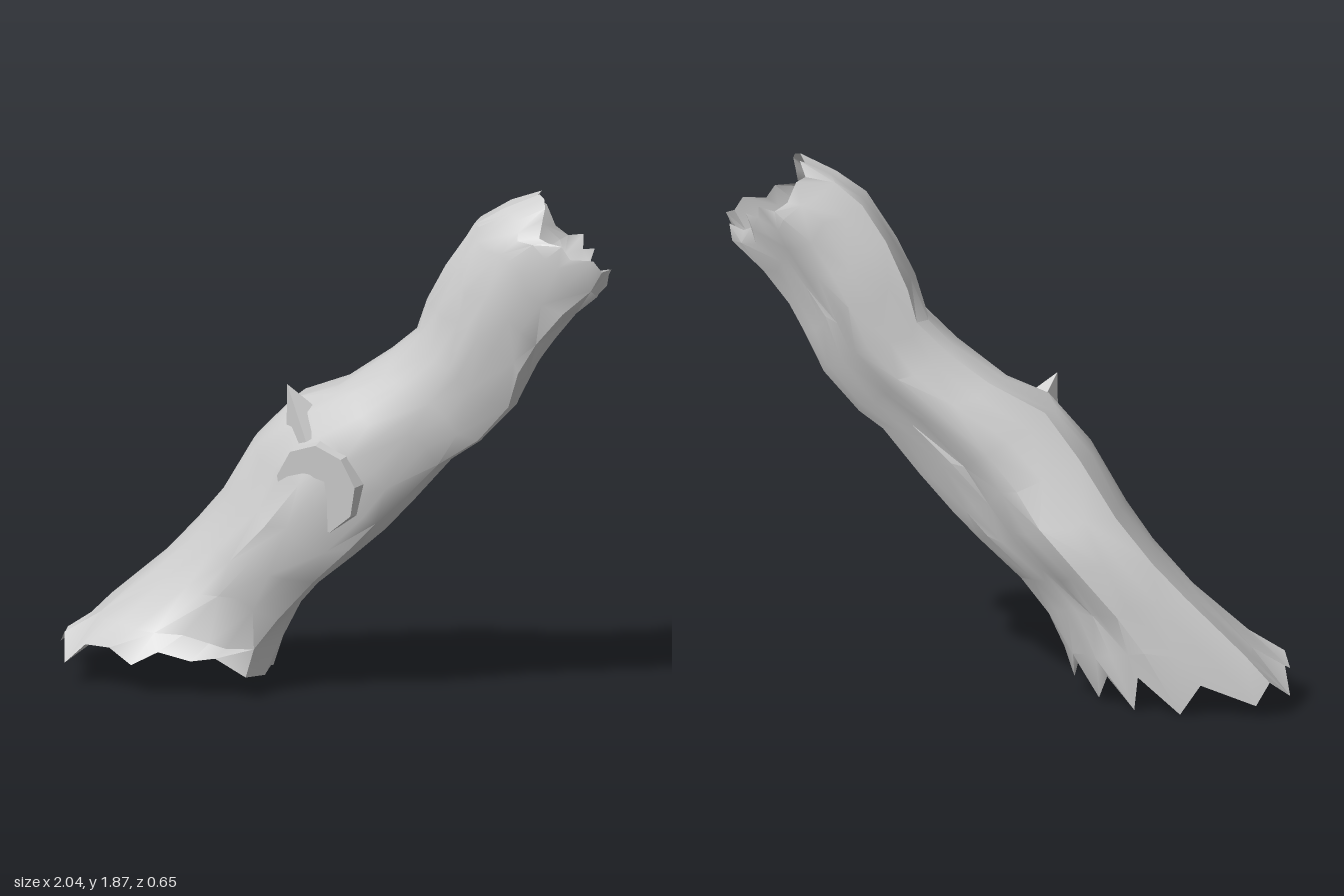
import * as THREE from 'three';
import { toCreasedNormals } from 'three/addons/utils/BufferGeometryUtils.js';

const SIDES = 24;

// Cross-sections from foot to tip: upper-left edge x, y, lower-right edge x, y, back z, front z
const SECTIONS = [
  [-1.00, 0.13, -0.24, 0.08, -0.32, 0.27],
  [-0.87, 0.24, -0.20, 0.20, -0.31, 0.22],
  [-0.66, 0.43, -0.15, 0.31, -0.28, 0.20],
  [-0.53, 0.57, -0.04, 0.44, -0.27, 0.23],
  [-0.41, 0.72, 0.10, 0.56, -0.23, 0.25],
  [-0.31, 0.90, 0.20, 0.65, -0.18, 0.26],
  [-0.16, 1.06, 0.30, 0.76, -0.14, 0.26],
  [0.02, 1.14, 0.43, 0.91, -0.09, 0.27],
  [0.18, 1.25, 0.55, 1.00, -0.05, 0.27],
  [0.29, 1.35, 0.66, 1.12, -0.03, 0.28],
  [0.35, 1.49, 0.73, 1.26, -0.03, 0.30],
  [0.42, 1.62, 0.80, 1.37, -0.01, 0.31],
  [0.51, 1.76, 0.88, 1.47, 0.01, 0.32],
  [0.62, 1.83, 0.97, 1.55, 0.03, 0.33],
  [0.75, 1.89, 1.00, 1.63, 0.05, 0.32],
];

// Fullness of each quarter of a ring: upper front, lower front, lower back, upper back
const FOOT_FULLNESS = [0, 0.25, -0.12, 0.35];
const TRUNK_FULLNESS = [-0.13, 0.26, -0.28, 0.36];

// Splintered rims: shift along the trunk for each side, starting upper left and going round the front
const FOOT_SHIFT = [
  0, 0.05, -0.03, 0.06, 0.07, 0.02, 0.08, 0.06, 0.08, 0.02, 0.01, 0.02,
  0, 0.06, -0.05, 0.04, -0.07, 0.05, -0.08, 0.02, -0.06, 0.02, -0.06, 0.03];
const TIP_SHIFT = [
  0, 0.01, 0, -0.03, -0.08, -0.06, -0.03, -0.04, 0.02, 0.01, 0.03, -0.02,
  0, -0.05, -0.06, -0.01, -0.05, -0.02, -0.07, -0.08, -0.05, -0.06, -0.01, -0.03];

function seeded(seed) {
  return () => {
    seed = (seed * 16807) % 2147483647;
    return seed / 2147483647;
  };
}

function trunkGeometry() {
  const rnd = seeded(41);
  const last = SECTIONS.length - 1;
  const unit = v => THREE.MathUtils.clamp(v, -1, 1) / 2;
  const pos = [], index = [];
  SECTIONS.forEach(([ax, ay, bx, by, z0, z1], i) => {
    const fullness = i < 2 ? FOOT_FULLNESS : TRUNK_FULLNESS;
    for (let j = 0; j < SIDES; j++) {
      // Keep the four extremes of each ring, roughen the sides between them
      const corner = j % (SIDES / 4) === 0;
      const a = (j + (corner ? 0 : (rnd() - 0.5) * 0.5)) / SIDES * Math.PI * 2;
      const full = fullness[Math.floor(j * 4 / SIDES)] * Math.abs(Math.sin(2 * a));
      const k = (1 + full) * (corner ? 1 : 0.96 + rnd() * 0.08);
      const c = unit(Math.cos(a) * k), s = unit(Math.sin(a) * k);
      const slide = i === 0 || i === last ? 0 : (rnd() - 0.5) * 0.04;
      const foot = i === 0 ? FOOT_SHIFT[j] : 0;
      const tip = i === last ? TIP_SHIFT[j] * 0.7 : 0;
      pos.push(
        (ax + bx) / 2 + (ax - bx) * c + slide + foot * 0.3 + tip,
        (ay + by) / 2 + (ay - by) * c + slide + foot + tip,
        (z0 + z1) / 2 + (z1 - z0) * s
      );
    }
  });
  for (let i = 0; i < last; i++) {
    for (let j = 0; j < SIDES; j++) {
      const a = i * SIDES + j, b = i * SIDES + (j + 1) % SIDES;
      const c = a + SIDES, d = b + SIDES;
      if ((i + j) % 2) index.push(a, b, c, b, d, c);
      else index.push(a, b, d, a, d, c);
    }
  }
  const geo = new THREE.BufferGeometry();
  geo.setAttribute('position', new THREE.Float32BufferAttribute(pos, 3));
  geo.setIndex(index);
  return toCreasedNormals(geo, 0.6);
}

export function createModel() {
  const model = new THREE.Group();
  model.name = 'brokenLog';
  const bark = new THREE.MeshStandardMaterial({ color: 0xcccccc, side: THREE.DoubleSide });
  const facets = new THREE.MeshStandardMaterial({ color: 0xcccccc, flatShading: true });

  const add = (name, geo, mat) => {
    const mesh = new THREE.Mesh(geo, mat);
    mesh.name = name;
    model.add(mesh);
    return mesh;
  };

  // Hollow trunk, open at both ends
  add('trunk', trunkGeometry(), bark);

  // Flat stump of a lost branch on the front
  const stump = add('branchStump', new THREE.CylinderGeometry(0.16, 0.18, 0.1, 9), facets);
  stump.position.set(-0.02, 0.8, 0.2);
  stump.quaternion.setFromUnitVectors(
    new THREE.Vector3(0, 1, 0), new THREE.Vector3(-0.33, -0.05, 0.94).normalize());

  // Pointed splinter on the upper edge
  const splinter = add('splinter', new THREE.ConeGeometry(0.1, 0.2, 4), facets);
  splinter.position.set(-0.12, 1.05, 0.12);
  splinter.rotation.z = 0.45;

  return model;
}
